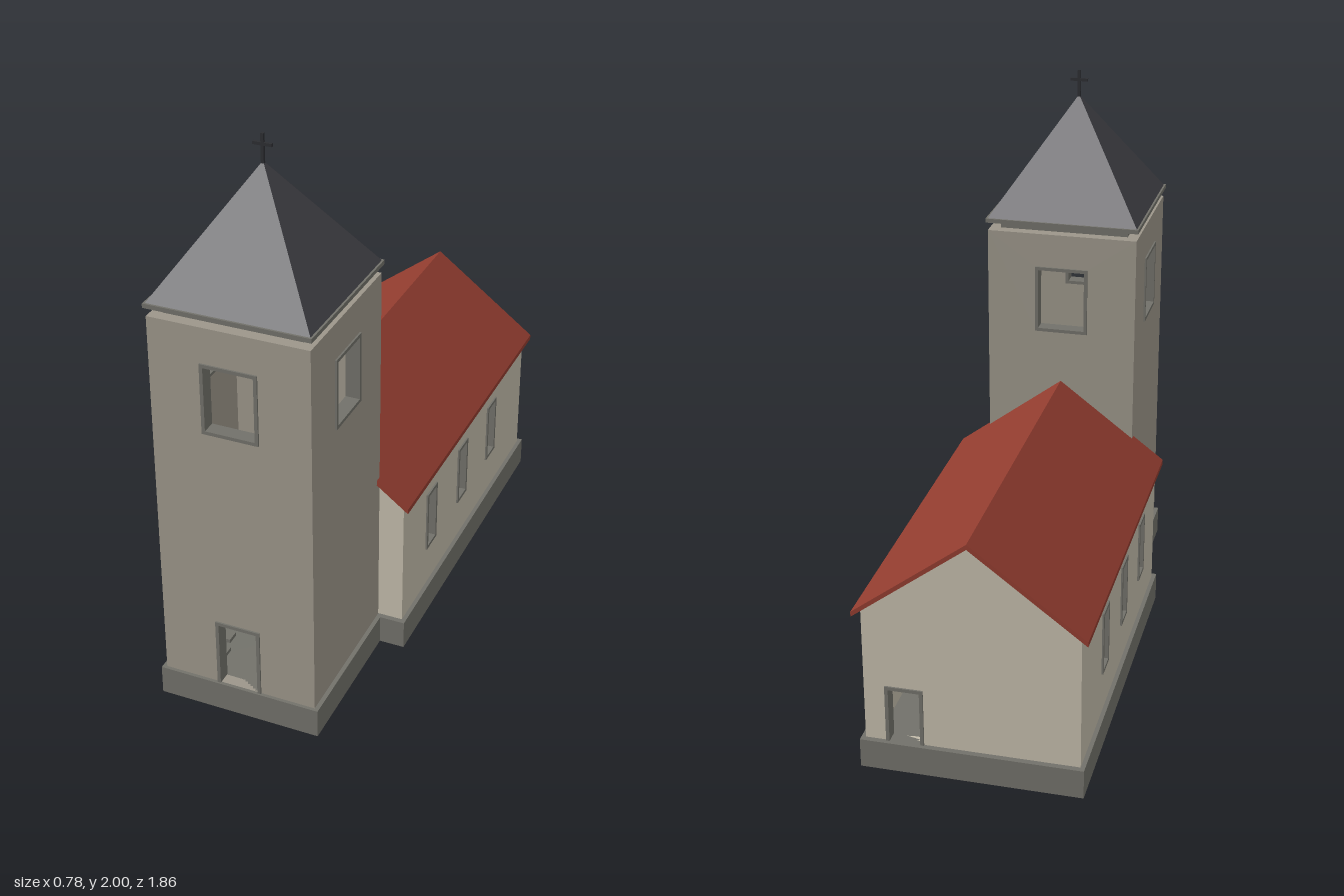
import * as THREE from 'three';

const mat = (name, color) => {
  const m = new THREE.MeshStandardMaterial({ color });
  m.name = name;
  return m;
};

export function createModel() {
  const church = new THREE.Group();
  church.name = 'church';
  const stone = mat('tower stone', 0x9c968a);
  const plaster = mat('cream plaster', 0xc3bcab);
  const trim = mat('dark grey stone', 0x72716a);
  const tile = mat('red tile', 0x913c2f);
  const slate = mat('slate', 0x48474d);
  const iron = mat('black iron', 0x2c2d31);

  const add = (name, geometry, material, x = 0, y = 0, z = 0, parent = church) => {
    const mesh = new THREE.Mesh(geometry, material);
    mesh.name = name;
    mesh.position.set(x, y, z);
    parent.add(mesh);
    return mesh;
  };
  // Box given by its lower and upper corners
  const block = (name, material, [x0, y0, z0], [x1, y1, z1], parent = church) =>
    add(name, new THREE.BoxGeometry(x1 - x0, y1 - y0, z1 - z0), material,
      (x0 + x1) / 2, (y0 + y1) / 2, (z0 + z1) / 2, parent);

  const shapeOf = (points) => new THREE.Shape(points.map(([x, y]) => new THREE.Vector2(x, y)));
  const T = 0.04;       // wall thickness
  const FLOOR = 0.105;  // top of the plinth

  // Wall with rectangular framed openings; its outer face is local z = 0
  function wall(name, material, outline, openings, x, z, angle) {
    const group = new THREE.Group();
    group.name = name;
    group.position.set(x, 0, z);
    group.rotation.y = angle;
    church.add(group);
    const shape = shapeOf(outline);
    for (const o of openings) {
      const l = o.x - o.w / 2, r = o.x + o.w / 2, b = o.y, t = o.y + o.h;
      shape.holes.push(new THREE.Path([[l, b], [l, t], [r, t], [r, b]].map((p) => new THREE.Vector2(...p))));
      const f = 0.012, front = 0.006, back = -T - 0.004;
      block('frameSide', trim, [l, b, back], [l + f, t, front], group);
      block('frameSide', trim, [r - f, b, back], [r, t, front], group);
      block('frameTop', trim, [l + f, t - f, back], [r - f, t, front], group);
      if (!o.door) block('frameSill', trim, [l + f, b, back], [r - f, b + f, front], group);
    }
    const geometry = new THREE.ExtrudeGeometry(shape, { depth: T, bevelEnabled: false });
    geometry.translate(0, 0, -T);
    add(name + 'Panel', geometry, material, 0, 0, 0, group);
  }
  const rect = (w, top) => [[-w / 2, 0.05], [w / 2, 0.05], [w / 2, top], [-w / 2, top]];

  // Plinths
  block('navePlinth', trim, [-0.38, 0, -0.925], [0.38, FLOOR, 0.388]);
  block('towerPlinth', trim, [-0.29, 0, 0.388], [0.29, FLOOR, 0.932]);

  // Tower walls
  const H = 0.275, TZ = 0.645, TOP = 1.46;
  const belfry = { x: 0, y: 1.085, w: 0.195, h: 0.25 };
  const door = { x: 0, y: FLOOR, w: 0.16, h: 0.252, door: true };
  wall('towerFront', stone, rect(2 * H, TOP), [belfry, door], 0, TZ + H, 0);
  wall('towerBack', stone, rect(2 * H, TOP), [belfry, door], 0, TZ - H, Math.PI);
  for (const s of [1, -1]) {
    wall('towerSide', stone, rect(2 * (H - T), TOP), [belfry], s * H, TZ, s * Math.PI / 2);
  }

  // Tower roof
  block('towerNeck', trim, [-0.235, 1.44, TZ - 0.235], [0.235, 1.492, TZ + 0.235]);
  block('towerEaves', trim, [-0.282, 1.49, TZ - 0.282], [0.282, 1.505, TZ + 0.282]);
  const spire = new THREE.ConeGeometry(0.275 * Math.SQRT2, 0.405, 4).rotateY(Math.PI / 4).toNonIndexed();
  spire.computeVertexNormals();
  add('spire', spire, slate, 0, 1.7075, TZ);

  // Cross
  block('crossPost', iron, [-0.005, 1.89, TZ - 0.005], [0.005, 2, TZ + 0.005]);
  block('crossBar', iron, [-0.032, 1.96, TZ - 0.005], [0.032, 1.97, TZ + 0.005]);

  // Bell
  const bell = [[0, 0.11], [0.01, 0.1], [0.014, 0.05], [0.024, 0], [0, 0]].reverse();
  add('bell', new THREE.LatheGeometry(bell.map((p) => new THREE.Vector2(...p)), 16), iron, 0, 1.322, 0.59);

  // Stair along the tower wall
  for (let i = 0; i < 9; i++) {
    const z = 0.83 - i * 0.042, y = FLOOR + (i + 1) * 0.035;
    block('stairTread', trim, [-0.235, y - 0.014, z - 0.045], [-0.1, y, z]);
  }

  // Nave walls
  const W = 0.365, BACK = -0.905, FRONT = 0.369;
  const ridge = 0.89, slope = 0.756, thick = 0.018;
  const under = (x) => ridge - thick - slope * x;
  const gable = [[-W, 0.05], [W, 0.05], [W, under(W)], [0, under(0)], [-W, under(W)]];
  wall('naveFront', plaster, gable, [door], 0, FRONT, 0);
  wall('naveBack', plaster, gable,
    [{ x: -0.228, y: FLOOR, w: 0.13, h: 0.21, door: true }], 0, BACK, Math.PI);
  const mid = (BACK + FRONT) / 2;
  for (const s of [1, -1]) {
    const windows = [0.1, -0.22, -0.54].map((z) => ({ x: -s * (z - mid), y: 0.26, w: 0.096, h: 0.233 }));
    wall('naveSide', plaster, rect(FRONT - BACK - 2 * T, under(W)), windows, s * W, mid, s * Math.PI / 2);
  }

  // Nave roof: a folded sheet
  const E = 0.39;
  const fold = shapeOf([[-E, under(E)], [0, under(0)], [E, under(E)],
    [E, under(E) + thick], [0, ridge], [-E, under(E) + thick]]);
  add('naveRoof', new THREE.ExtrudeGeometry(fold, { depth: 1.325, bevelEnabled: false }), tile, 0, 0, -0.93);

  // Pews on both sides of the aisle
  for (const s of [-1, 1]) {
    for (let i = 0; i < 6; i++) {
      const z = 0.2 - i * 0.13, a = s * 0.2;
      block('pewSeat', trim, [a - 0.1, 0.15, z - 0.05], [a + 0.1, 0.165, z]);
      block('pewBack', trim, [a - 0.1, FLOOR, z], [a + 0.1, 0.23, z + 0.012]);
    }
  }
  return church;
}
